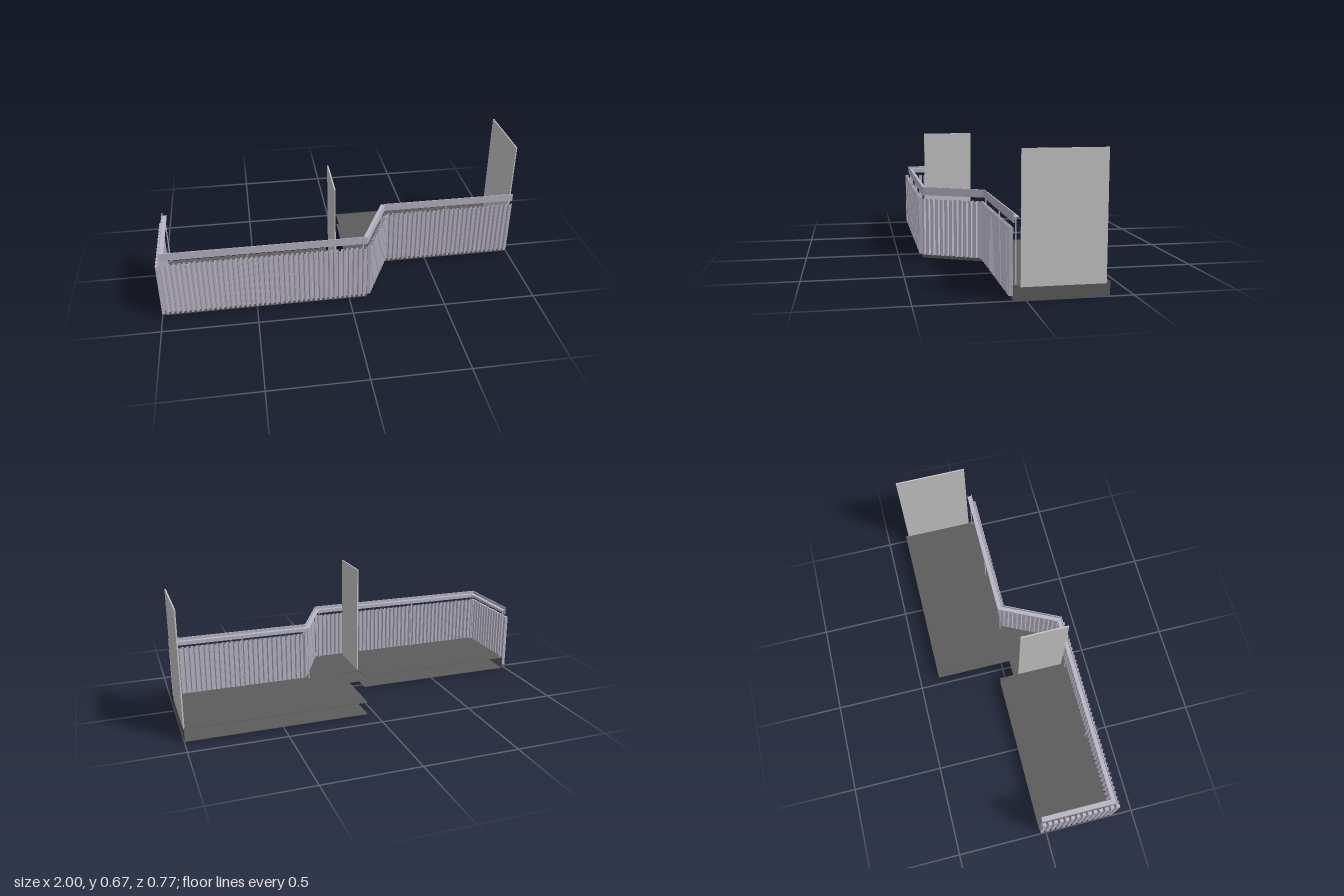
import * as THREE from 'three';

const mat = (name, color) => {
  const m = new THREE.MeshStandardMaterial({ color });
  m.name = name;
  return m;
};

// Front edge of the balcony in [x, z], from the right-hand return to the far end
const EDGE = [[-0.98, -0.035], [-0.98, 0.368], [0.095, 0.368], [0.248, 0.057], [0.998, 0.057]];
const END = [0.998, -0.387];
const OUTLINE = [...EDGE, END, [0.04, -0.387], [0.04, 0.052], [-0.075, 0.052], [-0.075, -0.035]];

// Outward normal of a path segment
function normal(a, b) {
  const dx = b[0] - a[0], dz = b[1] - a[1], l = Math.hypot(dx, dz);
  return [-dz / l, dx / l];
}

// Path moved sideways by d, with mitred corners (positive = outward)
function offset(path, d) {
  return path.map((p, i) => {
    const n0 = normal(...(i > 0 ? [path[i - 1], p] : [p, path[i + 1]]));
    const n1 = normal(...(i < path.length - 1 ? [p, path[i + 1]] : [path[i - 1], p]));
    const k = d / (1 + n0[0] * n1[0] + n0[1] * n1[1]);
    return [p[0] + (n0[0] + n1[0]) * k, p[1] + (n0[1] + n1[1]) * k];
  });
}

// Upright prism over an outline in x and z
function prism(points, y0, y1) {
  const shape = new THREE.Shape(points.map(p => new THREE.Vector2(...p)));
  const g = new THREE.ExtrudeGeometry(shape, { depth: y1 - y0, bevelEnabled: false });
  return g.rotateX(Math.PI / 2).translate(0, y1, 0);
}

// Band following a path between two sideways offsets
const band = (path, d0, d1, y0, y1) =>
  prism([...offset(path, d0), ...offset(path, d1).reverse()], y0, y1);

// Folded sheet line from a to b: inner flat, slope, outer flat, slope
function foldLine(a, b, depth, pitch) {
  const n = normal(a, b);
  const count = Math.round(Math.hypot(b[0] - a[0], b[1] - a[1]) / pitch);
  const pts = [];
  for (let i = 0; i < count; i++) {
    for (const [t, d] of [[0, 0.15], [0.14, 1], [0.56, 1], [0.7, 0.15]]) {
      const s = (i + t) / count;
      pts.push([a[0] + (b[0] - a[0]) * s + n[0] * d * depth, a[1] + (b[1] - a[1]) * s + n[1] * d * depth]);
    }
  }
  pts.push([b[0] + n[0] * 0.15 * depth, b[1] + n[1] * 0.15 * depth]);
  return pts;
}

export function createModel() {
  const root = new THREE.Group();
  root.name = 'balcony';
  const slabMat = mat('dark concrete', 0x5c5c5c);
  const metal = mat('lavender grey metal', 0xbab6c6);
  const screenMat = mat('pale grey screen', 0xc8c8c8);
  const add = (name, geometry, material, parent = root) => {
    const m = new THREE.Mesh(geometry, material);
    m.name = name;
    parent.add(m);
    return m;
  };

  // Hollow floor: two plates and a fascia, open along the building side
  add('floorTop', prism(OUTLINE, 0.067, 0.069), slabMat);
  add('floorUnderside', prism(OUTLINE, 0, 0.002), slabMat);
  add('floorFascia', band([...EDGE, END], -0.002, 0, 0, 0.069), slabMat);

  // Folded metal cladding on the front runs
  const cladding = new THREE.Group();
  cladding.name = 'cladding';
  root.add(cladding);
  for (let i = 1; i < 4; i++) {
    const line = foldLine(EDGE[i], EDGE[i + 1], 0.019, 0.0265);
    add('claddingRun', prism([...line, ...offset(line, -0.0015).reverse()], 0.02, 0.328), metal, cladding);
  }

  // Separate slats on the return side
  const slats = 14;
  for (let i = 0; i < slats; i++) {
    const g = new THREE.BoxGeometry(0.017, 0.308, 0.019);
    g.translate(-0.9905, 0.174, -0.024 + i * 0.4 / (slats - 1));
    add('returnSlat', g, metal, cladding);
  }

  // Handrail: upright outer strip and a flat inner shelf
  const rail = new THREE.Group();
  rail.name = 'handrail';
  root.add(rail);
  add('railFascia', band(EDGE, -0.004, 0, 0.347, 0.39), metal, rail);
  add('railShelf', band(EDGE, -0.026, -0.004, 0.37, 0.374), metal, rail);

  // Slim posts beneath the rail
  const posts = [[-0.966, -0.025], [-0.966, 0.354], [-0.535, 0.354], [-0.1, 0.354],
    [0.075, 0.354], [0.235, 0.043], [0.61, 0.043], [0.98, 0.043]];
  for (const [x, z] of posts) {
    add('post', new THREE.BoxGeometry(0.006, 0.301, 0.006).translate(x, 0.2195, z), metal);
  }

  // Tall dividing screens
  const screen = (name, x, z0, z1, y0) => add(name,
    new THREE.BoxGeometry(0.007, 0.67 - y0, z1 - z0).translate(x, (0.67 + y0) / 2, (z0 + z1) / 2), screenMat);
  screen('middleScreen', -0.073, 0.077, 0.34, 0.069);
  screen('endScreen', 0.9955, -0.37, 0.024, 0.06);

  return root;
}
